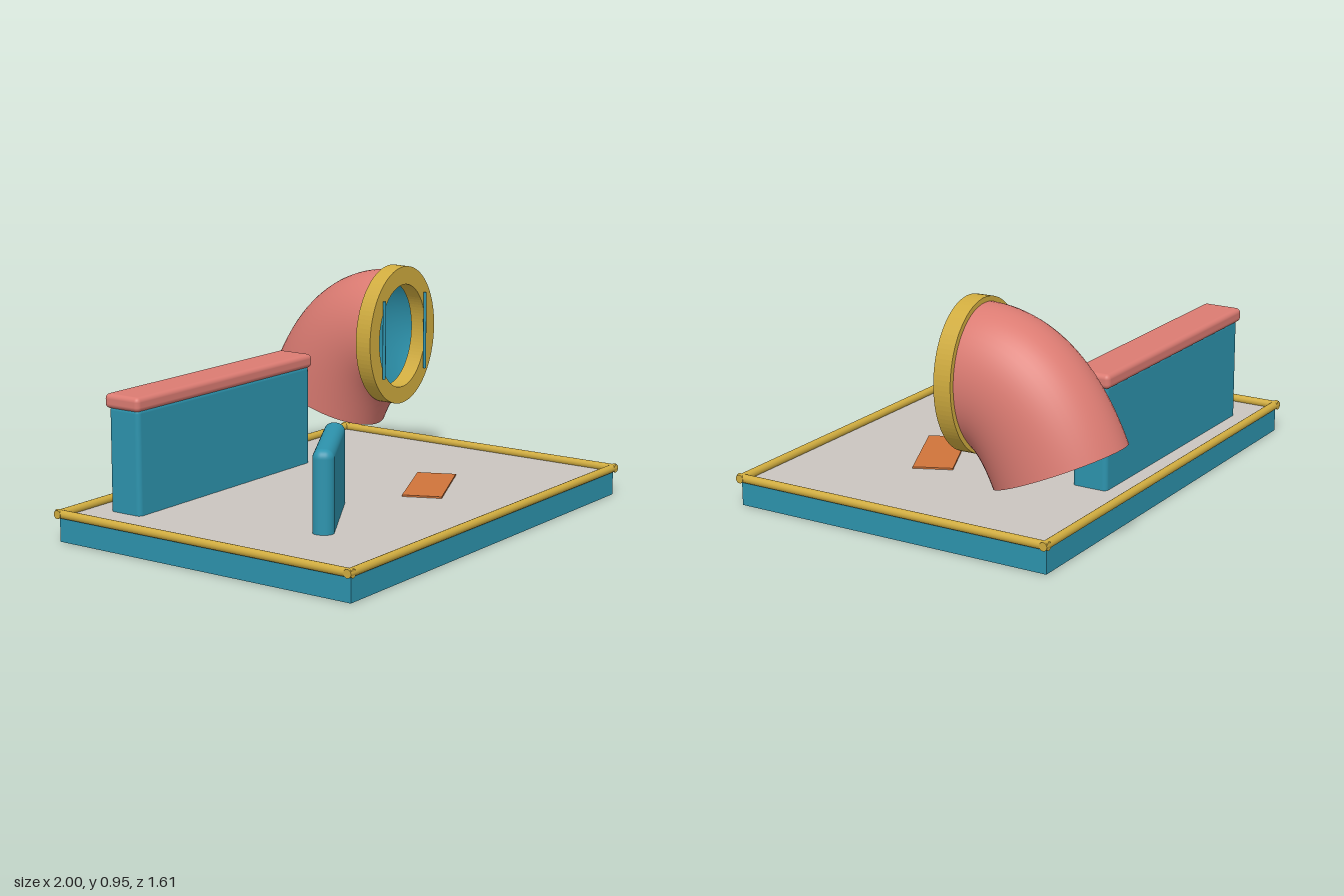
import * as THREE from 'three';
import { RoundedBoxGeometry } from 'three/addons/geometries/RoundedBoxGeometry.js';

const mat = (name, color, side = THREE.FrontSide) => {
  const m = new THREE.MeshStandardMaterial({ color, side });
  m.name = name;
  return m;
};

// Sweeps an ellipse (half width rx, half height ry) along a curve in the yz plane
function sweepEllipse(curve, rx, ry, steps, sides, inward) {
  const pos = [], idx = [];
  for (let i = 0; i <= steps; i++) {
    const c = curve.getPoint(i / steps), t = curve.getTangent(i / steps);
    for (let j = 0; j < sides; j++) {
      const a = (j / sides) * Math.PI * 2, s = ry * Math.sin(a);
      pos.push(c.x + rx * Math.cos(a), c.y - t.z * s, c.z + t.y * s);
      if (i === steps) continue;
      const k = (j + 1) % sides;
      const p = i * sides + j, q = i * sides + k, r = p + sides, u = q + sides;
      if (inward) idx.push(p, q, r, q, u, r);
      else idx.push(p, r, q, q, r, u);
    }
  }
  const g = new THREE.BufferGeometry();
  g.setAttribute('position', new THREE.Float32BufferAttribute(pos, 3));
  g.setIndex(idx);
  g.computeVertexNormals();
  return g;
}

export function createModel() {
  const model = new THREE.Group();
  const blue = mat('blue', 0x2d93ad);
  const pink = mat('coral', 0xdb7b72);
  const gold = mat('gold', 0xd0ac3f);
  const grey = mat('warm grey', 0xcac5bf);
  const orange = mat('orange', 0xd0743a);

  const add = (name, geo, material, x, y, z, parent = model) => {
    const m = new THREE.Mesh(geo, material);
    m.name = name;
    m.position.set(x, y, z);
    parent.add(m);
    return m;
  };

  // Tray with a grey floor
  add('base', new THREE.BoxGeometry(1.96, 0.1, 1.42), blue, 0, 0.05, 0.08);
  add('floor', new THREE.BoxGeometry(1.95, 0.006, 1.41), grey, 0, 0.102, 0.08);

  // Round rails around the tray edge
  const rim = new THREE.Group();
  rim.name = 'rim';
  model.add(rim);
  const r = 0.0175;
  for (const s of [-1, 1]) {
    const long = add('longRail', new THREE.CylinderGeometry(r, r, 2, 16), gold, 0, 0.116, 0.08 + s * 0.707, rim);
    long.rotation.z = Math.PI / 2;
    const side = add('sideRail', new THREE.CylinderGeometry(r, r, 1.446, 16), gold, s * 0.9825, 0.116, 0.08, rim);
    side.rotation.x = Math.PI / 2;
  }

  // Long back wall with its cap
  add('backWall', new RoundedBoxGeometry(1.14, 0.48, 0.155, 4, 0.02), blue, -0.23, 0.3, -0.443);
  add('wallCap', new RoundedBoxGeometry(1.165, 0.06, 0.177, 4, 0.02), pink, -0.228, 0.558, -0.447);

  // Small turned wall
  const small = add('smallWall', new RoundedBoxGeometry(0.53, 0.38, 0.085, 5, 0.036), blue, -0.37, 0.25, 0.252);
  small.rotation.y = 0.53;

  // Flat plate on the floor
  const plate = add('floorPlate', new THREE.BoxGeometry(0.4, 0.008, 0.166), orange, 0.293, 0.108, 0.293);
  plate.rotation.y = 0.425;

  // Bent duct, coral outside and blue inside
  const path = new THREE.QuadraticBezierCurve3(
    new THREE.Vector3(0.73, 0.64, -0.2),
    new THREE.Vector3(0.73, 0.64, -0.41),
    new THREE.Vector3(0.73, 0.3325, -0.5425));
  add('duct', sweepEllipse(path, 0.233, 0.286, 28, 56, false), pink, 0, 0, 0);
  add('ductLining', sweepEllipse(path, 0.23, 0.283, 28, 56, true), blue, 0, 0, 0);

  // Oval collar at the mouth of the duct
  const oval = new THREE.Shape().absellipse(0, 0, 0.253, 0.307, 0, Math.PI * 2);
  oval.holes.push(new THREE.Path().absellipse(0, -0.003, 0.181, 0.23, 0, Math.PI * 2, true));
  const collarGeo = new THREE.ExtrudeGeometry(oval, { depth: 0.075, bevelEnabled: false, curveSegments: 48 });
  const collar = add('collar', collarGeo, gold, 0.73, 0.639, -0.216);
  collar.rotation.x = 0.016;

  // Thin upright bars in front of the collar
  for (const s of [-1, 1])
    add('collarBar', new THREE.CylinderGeometry(0.007, 0.007, 0.345, 12), blue, 0.73 + s * 0.16, 0.638, -0.13);

  return model;
}
